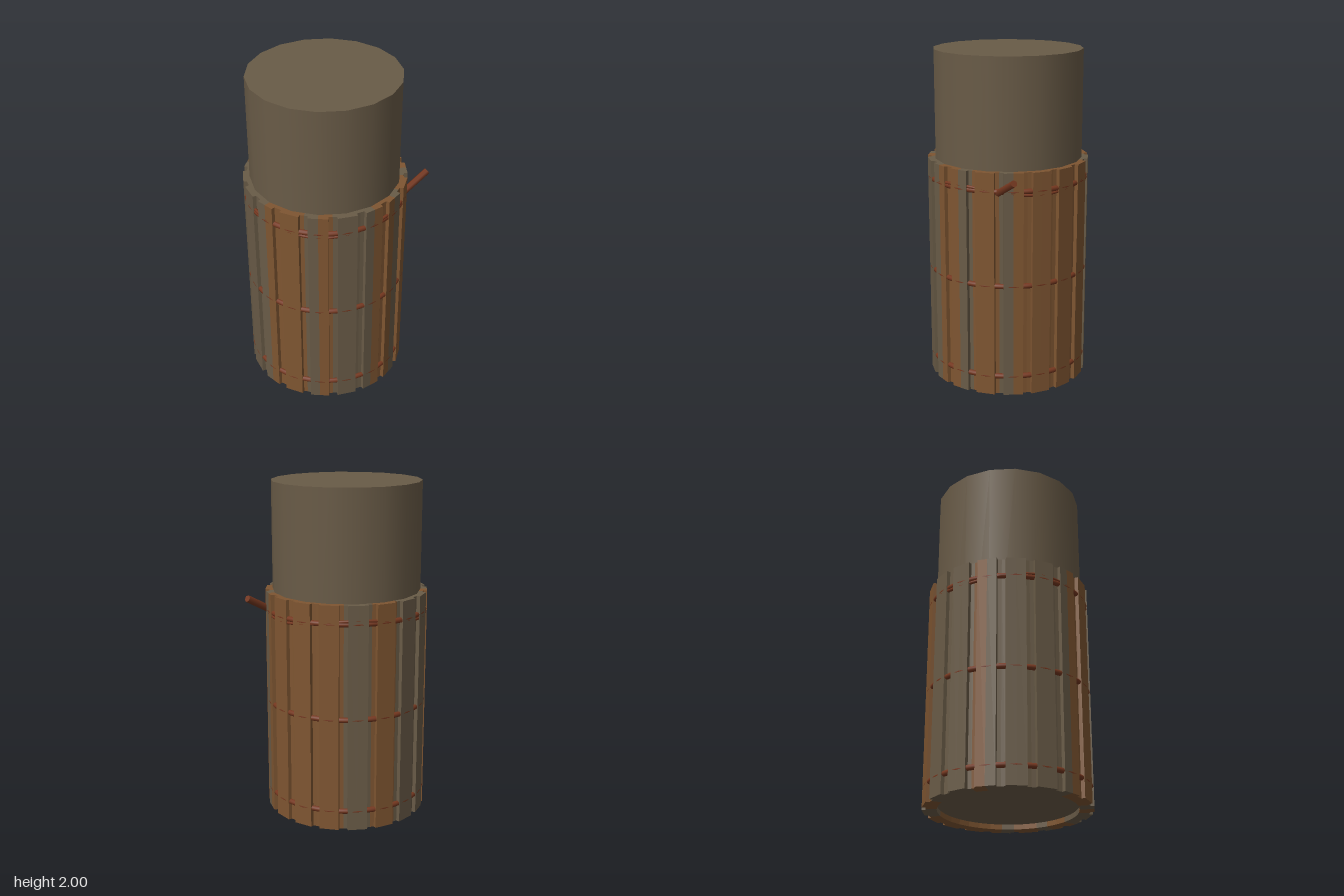
import * as THREE from 'three';

const STAVES = 18, CENTER_X = -0.063, STAVE_TOP = 1.355;
const mat = (name, color) => {
  const m = new THREE.MeshStandardMaterial({ color });
  m.name = name;
  return m;
};

export function createModel() {
  const stone = mat('grey brown', 0x695b47);
  const wood = mat('warm wood', 0x7e5531);
  const rust = mat('red brown', 0x74371f);

  const model = new THREE.Group();
  model.name = 'staveBoundColumn';
  const body = new THREE.Group();
  body.name = 'body';
  body.position.x = CENTER_X;
  model.add(body);

  const add = (name, geometry, material, parent = body) => {
    const mesh = new THREE.Mesh(geometry, material);
    mesh.name = name;
    parent.add(mesh);
    return mesh;
  };

  // Core column, raised slightly above the bottom of the staves
  const coreBase = 0.03;
  add('core', new THREE.CylinderGeometry(0.443, 0.443, 2 - coreBase, STAVES), stone)
    .position.y = (2 + coreBase) / 2;

  // Half a stave: a thin wedge with a raised, flat outer face
  const halfStave = (side) => {
    const shape = new THREE.Shape(
      [[0, 0.40], [0, 0.481], [6.8, 0.4844], [7.2, 0.463], [10, 0.461], [10, 0.40]].map(([deg, r]) => {
        const a = THREE.MathUtils.degToRad(deg * side);
        return new THREE.Vector2(r * Math.sin(a), -r * Math.cos(a));
      })
    );
    const g = new THREE.ExtrudeGeometry(shape, { depth: STAVE_TOP, bevelEnabled: false });
    return g.rotateX(-Math.PI / 2);
  };
  const halves = [halfStave(-1), halfStave(1)];

  // Colours of the two halves of each stave, going round from the front to +x
  const colours = ['gw', 'gg', 'gw', 'wg', 'ww', 'gw', 'ww', 'ww', 'ww',
    'gg', 'ww', 'gg', 'gg', 'wg', 'gg', 'gg', 'gw', 'ww'];
  colours.forEach((pair, i) => {
    const stave = new THREE.Group();
    stave.name = 'stave';
    stave.rotation.y = (i * 2 * Math.PI) / STAVES;
    halves.forEach((g, k) => add('staveHalf', g, pair[k] === 'g' ? stone : wood, stave));
    body.add(stave);
  });

  // Binding ropes: thick in the grooves, only grazing the middle of each stave face
  const rope = (name, y, outer, thickness, wave) => {
    const points = [];
    const r = outer - thickness;
    for (let i = 0; i < 36; i++) {
      const a = (i / 36) * 2 * Math.PI;
      points.push(new THREE.Vector3(r * Math.sin(a), y - wave * Math.cos(3 * a), r * Math.cos(a)));
    }
    const path = new THREE.CatmullRomCurve3(points, true);
    add(name, new THREE.TubeGeometry(path, 108, thickness, 12, true), rust);
  };
  rope('lowerRope', 0.115, 0.4822, 0.016, 0);
  rope('middleRope', 0.68, 0.4822, 0.016, 0);
  rope('upperRope', 1.245, 0.4822, 0.016, 0);
  rope('looseRope', 1.243, 0.4815, 0.009, 0.022);

  // Slanted peg on the +x side
  const from = new THREE.Vector3(0.395, 1.235, 0.008), to = new THREE.Vector3(0.534, 1.328, -0.098);
  const peg = add('peg', new THREE.CylinderGeometry(0.021, 0.021, from.distanceTo(to), 6), rust, model);
  peg.position.copy(from).lerp(to, 0.5);
  peg.quaternion.setFromUnitVectors(new THREE.Vector3(0, 1, 0), to.clone().sub(from).normalize());

  return model;
}
